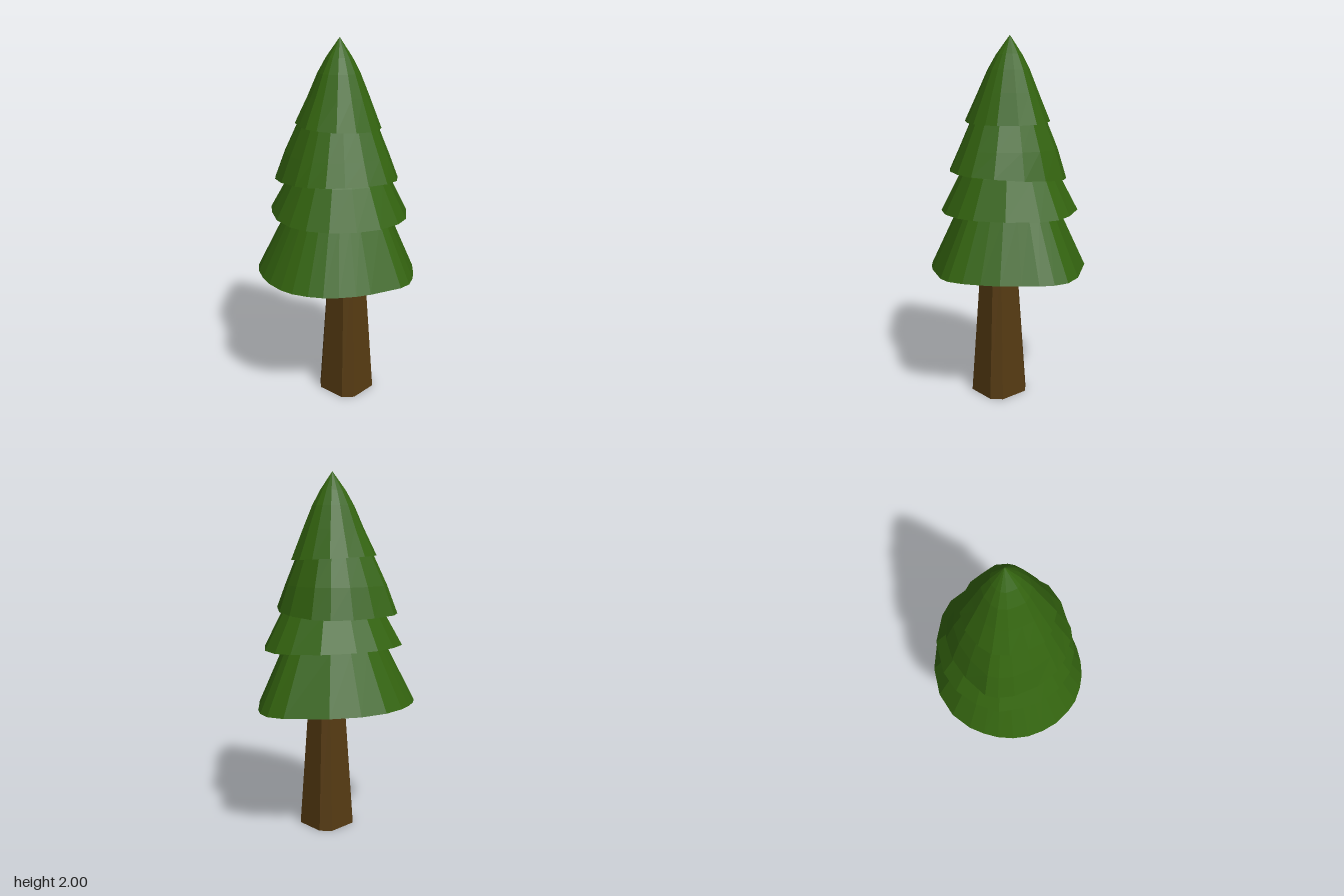
import * as THREE from 'three';

// Lofts a closed outline (x, z pairs, clockwise from above) through rings:
// ring(level, x, z) gives the vertex position for each level.
function loft(outline, levels, ring) {
  const n = outline.length / 2;
  const rings = levels.map((level) =>
    Array.from({ length: n }, (_, i) => ring(level, outline[2 * i], outline[2 * i + 1])));
  const pos = [];
  const tri = (...pts) => pts.forEach((p) => pos.push(...p));
  for (let r = 0; r < rings.length - 1; r++) {
    for (let i = 0; i < n; i++) {
      const j = (i + 1) % n;
      const [a, b, c, d] = [rings[r][i], rings[r][j], rings[r + 1][i], rings[r + 1][j]];
      tri(a, c, b);
      if (levels[r + 1][1] > 0) tri(b, c, d);
    }
  }
  // underside cap, fanned from the middle of the lowest ring
  const mid = [0, 1, 2].map((k) => rings[0].reduce((s, p) => s + p[k], 0) / n);
  for (let i = 0; i < n; i++) tri(mid, rings[0][i], rings[0][(i + 1) % n]);
  const geo = new THREE.BufferGeometry();
  geo.setAttribute('position', new THREE.Float32BufferAttribute(pos, 3));
  geo.computeVertexNormals();
  return geo;
}

// Uneven rim outlines of the four foliage tiers
const rim1 = [
  0.03, -0.45, 0.17, -0.405, 0.3, -0.305, 0.44, -0.11, 0.467, -0.01, 0.45, 0.07, 0.41, 0.14,
  0.35, 0.21, 0.28, 0.295, 0.2, 0.36, 0.12, 0.415, 0.04, 0.45, -0.03, 0.447, -0.2, 0.38,
  -0.27, 0.34, -0.34, 0.285, -0.395, 0.225, -0.435, 0.155, -0.465, 0.07, -0.47, -0.01,
  -0.46, -0.105, -0.43, -0.19, -0.385, -0.27, -0.325, -0.335, -0.255, -0.385, -0.18, -0.42,
  -0.095, -0.445];
const rim2 = [
  0.03, -0.385, 0.15, -0.35, 0.3, -0.24, 0.38, -0.1, 0.403, 0, 0.38, 0.11, 0.27, 0.25,
  0.13, 0.35, 0.03, 0.375, -0.1, 0.36, -0.22, 0.3, -0.32, 0.2, -0.375, 0.09, -0.385, -0.02,
  -0.36, -0.14, -0.29, -0.25, -0.22, -0.33, -0.1, -0.375];
const rim3 = [
  -0.14, -0.34, 0, -0.33, 0.12, -0.295, 0.22, -0.23, 0.28, -0.15, 0.3, 0, 0.27, 0.12,
  0.18, 0.25, 0.08, 0.32, -0.02, 0.335, -0.13, 0.3, -0.23, 0.23, -0.3, 0.16, -0.34, 0.07,
  -0.35, -0.01, -0.32, -0.14, -0.26, -0.25, -0.2, -0.31];
const rim4 = [
  -0.02, -0.237, 0.08, -0.215, 0.16, -0.16, 0.21, -0.08, 0.228, 0, 0.2, 0.1, 0.12, 0.18,
  0.06, 0.21, -0.02, 0.225, -0.11, 0.2, -0.2, 0.145, -0.245, 0.05, -0.255, -0.02,
  -0.22, -0.1, -0.17, -0.18, -0.1, -0.23];

// levels: [height, scale]; rimY: wavy height of the lower edge
const tiers = [
  { name: 'lowestFoliage', rim: rim1, levels: [[0.735, 1], [1.06, 0.655], [1.25, 0.42], [1.5, 0]],
    rimY: (x, z) => 0.735 + Math.max(0, -z) * 0.055 },
  { name: 'lowerFoliage', rim: rim2, levels: [[1.06, 1], [1.26, 0.73], [1.45, 0.42], [1.65, 0]],
    rimY: (x, z) => 1.06 + Math.max(0, -z) * 0.05 },
  { name: 'upperFoliage', rim: rim3, levels: [[1.26, 1], [1.4, 0.84], [1.56, 0.63], [1.85, 0]],
    rimY: (x, z) => 1.26 + 0.06 * z - 0.04 * x },
  { name: 'topFoliage', rim: rim4,
    levels: [[1.545, 1], [1.7, 0.71], [1.82, 0.49], [1.9, 0.3], [2, 0]],
    rimY: (x, z) => 1.545 - 0.03 * x - 0.04 * z },
];

export function createModel() {
  const tree = new THREE.Group();
  tree.name = 'pineTree';
  const green = new THREE.MeshStandardMaterial({ color: 0x33630f, flatShading: true });
  green.name = 'pineGreen';
  const brown = new THREE.MeshStandardMaterial({ color: 0x553a12, flatShading: true });
  brown.name = 'barkBrown';

  // Tapered trunk with chamfered corners, set slightly toward the front
  const c = 0.62;
  const section = [-c, -1, c, -1, 1, -c, 1, c, c, 1, -c, 1, -1, c, -1, -c];
  const trunk = new THREE.Mesh(
    loft(section, [[0, 0.133], [0.78, 0.086]],
      ([y, s], x, z) => [-0.018 + x * s, y, 0.056 + z * s]), brown);
  trunk.name = 'trunk';
  tree.add(trunk);

  // Stacked foliage skirts
  for (const { name, rim, levels, rimY } of tiers) {
    const geo = loft(rim, levels, ([y, s], x, z) =>
      [x * s, s === 1 ? rimY(x, z) : y, z * s - 0.01 * (1 - s)]);
    const mesh = new THREE.Mesh(geo, green);
    mesh.name = name;
    tree.add(mesh);
  }
  return tree;
}
